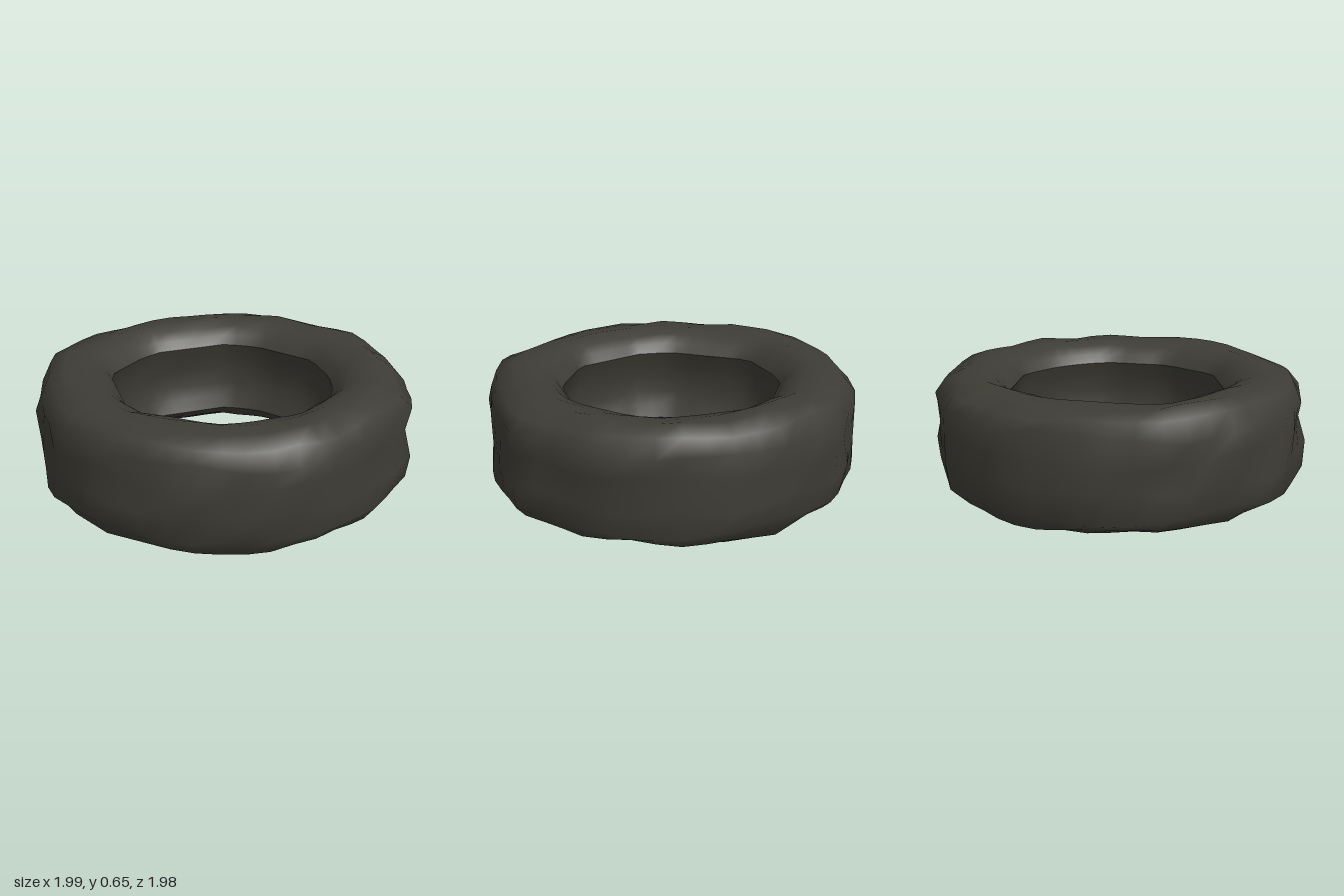
import * as THREE from 'three';

// Outlines seen from above as [x, z] corners, in order around the ring
const OUTER = [
  [-0.06, -1], [0.18, -0.97], [0.44, -0.92], [0.55, -0.82], [0.78, -0.66], [0.88, -0.44],
  [0.97, -0.24], [1, 0], [0.99, 0.2], [0.92, 0.4], [0.76, 0.69], [0.59, 0.8], [0.38, 0.96],
  [0.06, 0.99], [-0.12, 0.98], [-0.41, 0.93], [-0.62, 0.81], [-0.85, 0.52], [-0.96, 0.32],
  [-1, 0], [-0.95, -0.35], [-0.71, -0.71], [-0.4, -0.94],
];
const HOLE = [
  [-0.29, -0.54], [-0.24, -0.57], [0, -0.595], [0.14, -0.585], [0.49, -0.36], [0.57, -0.18],
  [0.59, 0.18], [0.45, 0.39], [0.33, 0.49], [0.18, 0.565], [-0.17, 0.555], [-0.46, 0.38],
  [-0.575, 0], [-0.55, -0.18],
];

// Cross-sections as [share of the way from hole to outline, height, roughness]
const CASING = [
  [0, 0.12, 0], [0.08, 0.08, 0.3], [0.2, 0.045, 0.6], [0.38, 0.02, 1], [0.62, 0.018, 1],
  [0.83, 0.05, 1.4], [0.95, 0.12, 2], [0.97, 0.25, 2.5], [0.95, 0.4, 2.5], [0.96, 0.52, 2],
  [0.83, 0.595, 1.4], [0.6, 0.637, 1], [0.38, 0.637, 0.6], [0.2, 0.61, 0.5],
  [0.08, 0.57, 0.3], [0, 0.525, 0],
];
const LINING = [
  [0, 0.525, 0], [0.07, 0.45, 0.3], [0.12, 0.36, 0.5], [0.12, 0.27, 0.5], [0.07, 0.19, 0.3],
  [0, 0.12, 0],
];

const COLUMNS = 48;
const cross = (a, b) => a[0] * b[1] - a[1] * b[0];

// Distance from the centre to a polygon's edge along a direction
function reach(polygon, dir) {
  for (let i = 0; i < polygon.length; i++) {
    const p = polygon[i], q = polygon[(i + 1) % polygon.length];
    if (cross(p, dir) >= 0 && cross(dir, q) >= 0) {
      return cross(p, q) / cross(dir, [q[0] - p[0], q[1] - p[1]]);
    }
  }
  return 1;
}

function seeded(seed) {
  return () => {
    seed = (seed * 16807) % 2147483647;
    return (seed / 2147483647) * 2 - 1;
  };
}

// Random dents at every second column, averaged in between
function dents(random) {
  const base = Array.from({ length: COLUMNS / 2 }, random);
  return (j) => (base[j >> 1] + base[((j + 1) >> 1) % base.length]) / 2;
}

// Sweeps a cross-section around the ring
function sweep(profile, seed) {
  const random = seeded(seed);
  const positions = [], indices = [];
  profile.forEach(([share, height, rough], i) => {
    const dentR = dents(random), dentY = dents(random);
    for (let j = 0; j < COLUMNS; j++) {
      const angle = (j / COLUMNS) * Math.PI * 2;
      const dir = [Math.sin(angle), Math.cos(angle)];
      const r = THREE.MathUtils.lerp(reach(HOLE, dir), reach(OUTER, dir), share)
        + dentR(j) * 0.01 * rough;
      const y = Math.max(0, height + dentY(j) * 0.016 * rough);
      positions.push(dir[0] * r, y, dir[1] * r);
      if (i < profile.length - 1) {
        const a = i * COLUMNS + j, b = i * COLUMNS + ((j + 1) % COLUMNS);
        indices.push(a, b, b + COLUMNS, a, b + COLUMNS, a + COLUMNS);
      }
    }
  });
  const geometry = new THREE.BufferGeometry();
  geometry.setAttribute('position', new THREE.Float32BufferAttribute(positions, 3));
  geometry.setIndex(indices);
  geometry.computeVertexNormals();
  return geometry;
}

export function createModel() {
  const model = new THREE.Group();
  model.name = 'tyre';
  const rubber = new THREE.MeshStandardMaterial({ color: 0x3d3c35 });
  rubber.name = 'dark rubber';

  // Tread and both sidewalls
  const casing = new THREE.Mesh(sweep(CASING, 4021), rubber);
  casing.name = 'casing';

  // Shallow groove between the two lips
  const lining = new THREE.Mesh(sweep(LINING, 977), rubber);
  lining.name = 'innerLining';

  model.add(casing, lining);
  return model;
}
